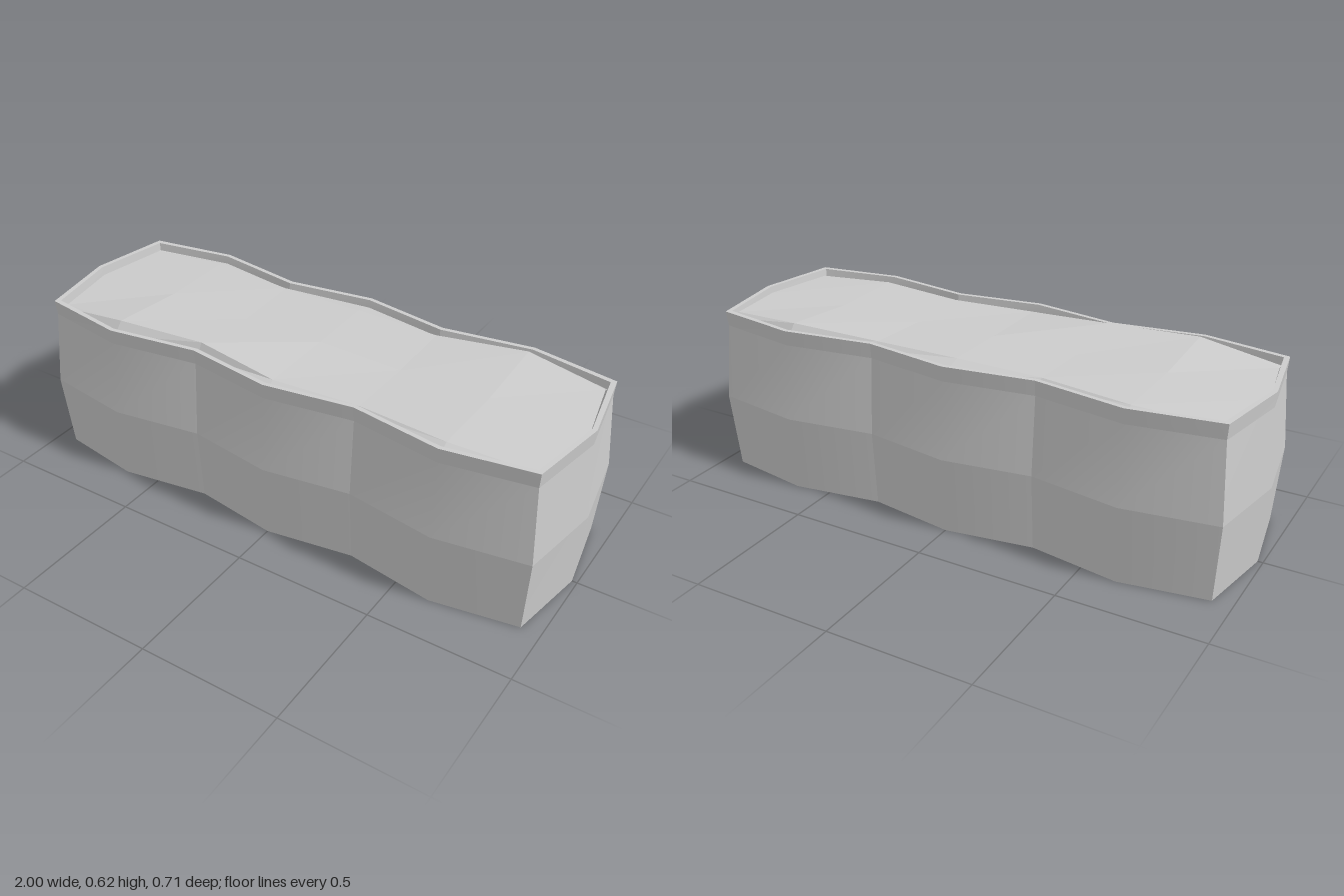
import * as THREE from 'three';
import { mergeGeometries } from 'three/addons/utils/BufferGeometryUtils.js';

// Outline at the widest level, running along the front, right end, back, left end
const SIDE_X = [-0.95, -0.63, -0.31, 0, 0.31, 0.63, 0.95];
const SIDE_Z = [0.305, 0.355, 0.305, 0.353, 0.305, 0.355, 0.305];
const front = SIDE_X.map((x, i) => [x, SIDE_Z[i]]);
const OUTLINE = [...front, [1, 0], ...front.map(([x, z]) => [-x, -z]), [-1, 0]];

// Each run of outline points is shaded smoothly; the folds between runs stay sharp
const RUNS = [[0, 1, 2], [2, 3, 4], [4, 5, 6], [6, 7], [7, 8],
  [8, 9, 10], [10, 11, 12], [12, 13, 14], [14, 15], [15, 0]];

function outlinePoint(i, y, inset) {
  const [x, z] = OUTLINE[i];
  const atEnd = Math.abs(x) > 0.9;
  return [x - (atEnd ? Math.sign(x) * inset : 0), y, z - Math.sign(z) * inset];
}

// Joins rows of points into a surface
function sheet(rows) {
  const n = rows[0].length;
  const index = [];
  for (let r = 0; r < rows.length - 1; r++) {
    for (let c = 0; c < n - 1; c++) {
      const a = r * n + c, b = a + n;
      index.push(a, a + 1, b + 1, a, b + 1, b);
    }
  }
  const g = new THREE.BufferGeometry();
  g.setAttribute('position', new THREE.Float32BufferAttribute(rows.flat(2), 3));
  g.setIndex(index);
  g.computeVertexNormals();
  return g;
}

// Wall bands through successive [height, inset] levels
function bands(levels) {
  const parts = [];
  for (let k = 0; k < levels.length - 1; k++) {
    for (const run of RUNS) {
      parts.push(sheet([levels[k], levels[k + 1]].map(
        ([y, inset]) => run.map((i) => outlinePoint(i, y, inset)))));
    }
  }
  return mergeGeometries(parts);
}

function addMesh(group, name, geometry, flatShading = false) {
  const material = new THREE.MeshStandardMaterial({
    color: 0xcccccc, side: THREE.DoubleSide, flatShading,
  });
  const mesh = new THREE.Mesh(geometry, material);
  mesh.name = name;
  group.add(mesh);
}

export function createModel() {
  const group = new THREE.Group();
  group.name = 'scallopedPlanter';

  // Bulging outer walls, open underneath
  addMesh(group, 'walls', bands([[0, 0.018], [0.275, 0], [0.55, 0.018], [0.603, 0.014]]));

  // Narrow flat lip and the short inner wall below it
  addMesh(group, 'rim', bands([[0.603, 0.014], [0.603, 0.03], [0.56, 0.036]]));

  // Uneven fill: low at the edges, with a few mounds just above the rim
  const frontY = [0.575, 0.615, 0.614, 0.59, 0.588, 0.594, 0.58];
  const middleY = [0.572, 0.59, 0.585, 0.592, 0.584, 0.59, 0.58];
  const backY = [0.575, 0.592, 0.596, 0.598, 0.596, 0.615, 0.59];
  const frontZ = [0.25, 0.285, 0.25, 0.28, 0.255, 0.285, 0.26];
  const backZ = [0.26, 0.285, 0.245, 0.245, 0.245, 0.288, 0.245];
  const innerX = SIDE_X.map((x) => (Math.abs(x) > 0.9 ? Math.sign(x) * 0.917 : x));
  const edge = (ids) => ids.map((i) => outlinePoint(i, 0.575, 0.034));
  const fill = sheet([
    edge([0, 1, 2, 3, 4, 5, 6]),
    innerX.map((x, i) => [x, frontY[i], frontZ[i]]),
    innerX.map((x, i) => [Math.abs(x) > 0.9 ? Math.sign(x) * 0.965 : x, middleY[i], 0]),
    innerX.map((x, i) => [x, backY[i], -backZ[i]]),
    edge([14, 13, 12, 11, 10, 9, 8]),
  ]);
  addMesh(group, 'soil', fill, true);

  return group;
}
